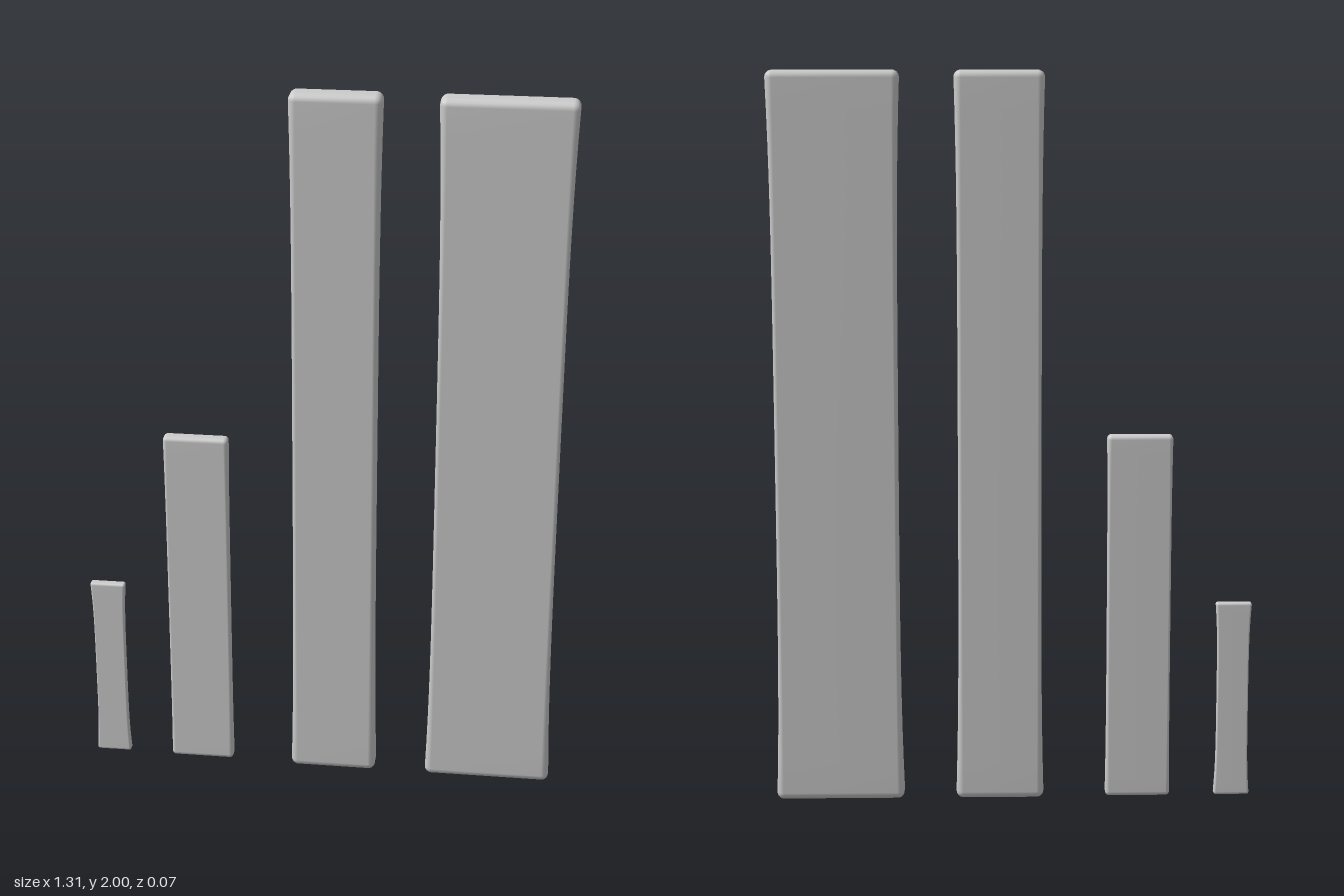
import * as THREE from 'three';

const ARC = 5;   // steps per rounded corner
const RISE = 24; // rings along the length

// Upright plank with rounded edges, slightly waisted along its narrow sides.
function plankGeometry(w, h, d, r, waist) {
  const rings = [];
  for (let i = 0; i <= ARC; i++) {
    const a = (i / ARC) * Math.PI / 2;
    rings.push({ y: r * (1 - Math.cos(a)), inset: r * (1 - Math.sin(a)) });
  }
  for (let i = 1; i < RISE; i++) rings.push({ y: r + (h - 2 * r) * i / RISE, inset: 0 });
  for (let i = ARC; i >= 0; i--) rings.push({ y: h - rings[i].y, inset: rings[i].inset });

  const pos = [], index = [];
  const n = 4 * (ARC + 1);
  for (const { y, inset } of rings) {
    const t = Math.abs(2 * y / h - 1);
    const slim = 1 - t ** 4; // 0 at the ends, 1 in the middle
    const hx = w / 2 - inset - waist * slim;
    const hz = d / 2 - inset;
    // edges are tighter towards the middle
    const c = Math.max(r * (1 - 0.45 * slim) - inset, 0.001);
    for (let q = 0; q < 4; q++) {
      const sx = q === 0 || q === 3 ? 1 : -1, sz = q < 2 ? 1 : -1;
      for (let k = 0; k <= ARC; k++) {
        const a = (q + k / ARC) * Math.PI / 2;
        pos.push(sx * (hx - c) + c * Math.cos(a), y, sz * (hz - c) + c * Math.sin(a));
      }
    }
  }
  // walls
  for (let j = 0; j < rings.length - 1; j++) {
    for (let i = 0; i < n; i++) {
      const a = j * n + i, b = j * n + (i + 1) % n;
      index.push(a, a + n, b, b, a + n, b + n);
    }
  }
  // end caps
  const bottom = pos.length / 3, top = bottom + 1, last = (rings.length - 1) * n;
  pos.push(0, 0, 0, 0, h, 0);
  for (let i = 0; i < n; i++) {
    const k = (i + 1) % n;
    index.push(bottom, i, k, top, last + k, last + i);
  }
  const g = new THREE.BufferGeometry();
  g.setAttribute('position', new THREE.Float32BufferAttribute(pos, 3));
  g.setIndex(index);
  g.computeVertexNormals();
  return g;
}

export function createModel() {
  const group = new THREE.Group();
  const material = new THREE.MeshStandardMaterial({ color: 0xcccccc });
  // planks from smallest to largest
  const planks = [
    { name: 'smallPlank', x: -0.61, w: 0.1, h: 0.55, d: 0.026, r: 0.007, waist: 0.007 },
    { name: 'mediumPlank', x: -0.347, w: 0.18, h: 1.02, d: 0.041, r: 0.012, waist: 0.003 },
    { name: 'tallPlank', x: 0.036, w: 0.243, h: 2, d: 0.072, r: 0.02, waist: 0.008 },
    { name: 'widePlank', x: 0.478, w: 0.355, h: 2, d: 0.072, r: 0.02, waist: 0.011 },
  ];
  for (const p of planks) {
    const mesh = new THREE.Mesh(plankGeometry(p.w, p.h, p.d, p.r, p.waist), material);
    mesh.name = p.name;
    mesh.position.x = p.x;
    group.add(mesh);
  }
  return group;
}
